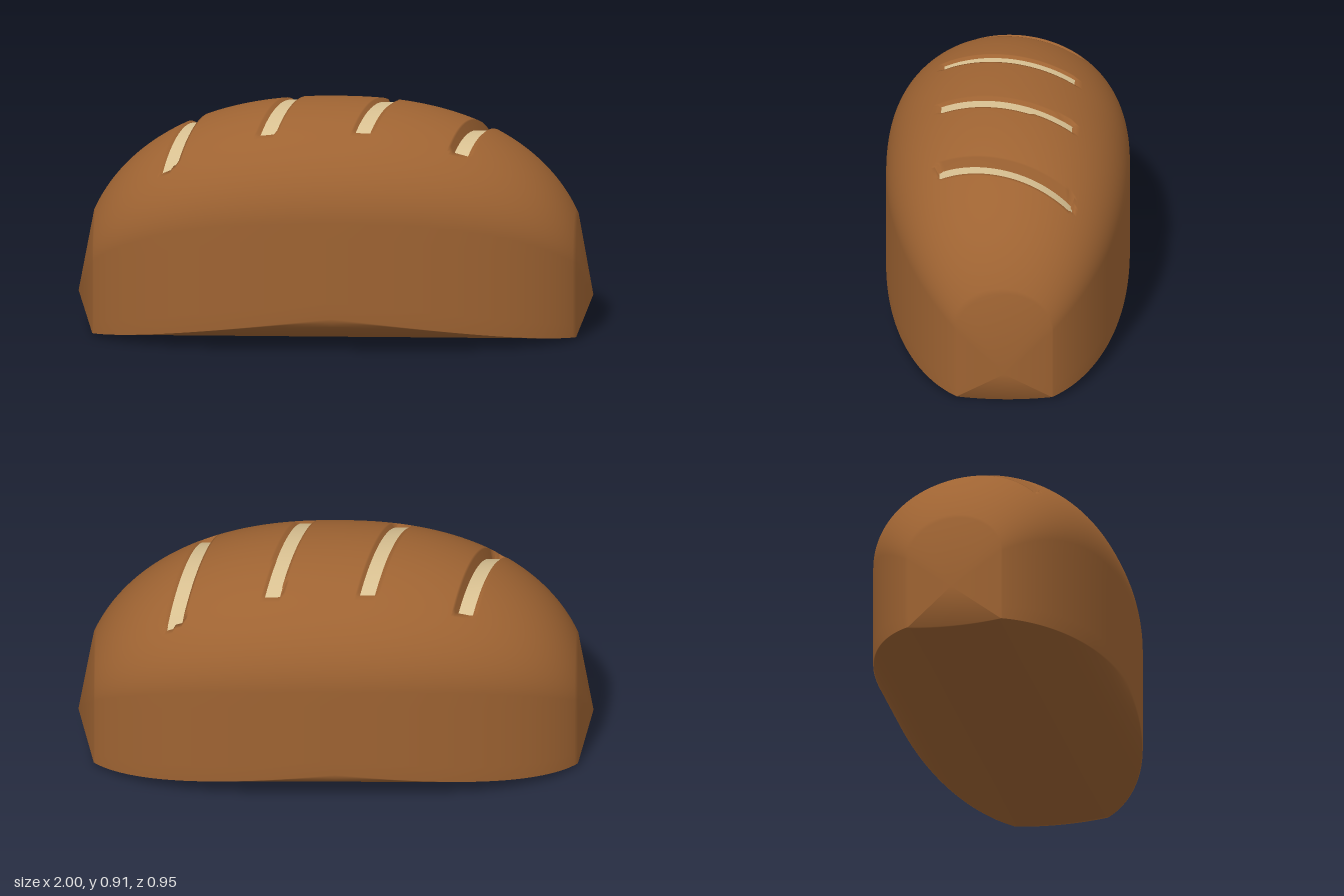
import * as THREE from 'three';

const HALF = 0.473;                 // half depth of the loaf
const END = 0.94;                   // last full cross-section before the tips
const CUTS = [-0.57, -0.19, 0.18, 0.56];
const SLANT = 0.26;                 // x shift of a cut per unit z
const CUT_LEN = 0.262, CUT_HALF = 0.034;

// Outline rules: rounded plan, ridge and shoulder heights along x
const bulge = (x, p) => Math.pow(Math.max(0, 1 - Math.pow(Math.min(1, Math.abs(x)), p)), 1 / p);
const halfWidth = x => HALF * bulge(x, 2.2);
const ridge = x => 0.14 + 0.768 * bulge(x, 2.3);
const shoulder = x => 0.14 + 0.38 * bulge(x, 2.3);
const underside = z => 0.14 * (1 - Math.sqrt(Math.max(0, 1 - (z / HALF) ** 2)));
function crust(x, z) {
  const s = shoulder(x), k = z / halfWidth(x);
  return s + (ridge(x) - s) * Math.sqrt(Math.max(0, 1 - k * k));
}

// Level floor of a scored cut, set just under its lower edge
function cutFloor(c, z) {
  const x = c - SLANT * z;
  return Math.min(crust(x - CUT_HALF, z), crust(x + CUT_HALF, z)) - 0.01;
}

// One ring of [k, zone, t]: underside, front wall, dome, back wall
function ringPlan() {
  const ring = [], under = 24, wall = 6, dome = 72;
  for (let i = 0; i < under; i++) ring.push([-Math.cos(Math.PI * i / under), 'under', 0]);
  for (let i = 0; i < wall; i++) ring.push([1, 'wall', i / wall]);
  for (let i = 0; i <= dome; i++) ring.push([Math.cos(Math.PI * i / dome), 'dome', 0]);
  for (let i = wall - 1; i > 0; i--) ring.push([-1, 'wall', i / wall]);
  return ring;
}

function loafGeometry() {
  const ring = ringPlan(), n = ring.length, cols = 220;
  const pos = [], index = [];
  for (let i = 0; i <= cols; i++) {
    const u = END * (2 * i / cols - 1);
    const fade = 1 - (u / END) ** 4;
    for (const [k, zone, t] of ring) {
      // columns lean with the cuts so their edges stay clean
      const x = u - SLANT * HALF * k * fade;
      const z = k * halfWidth(x);
      let y;
      if (zone === 'under') y = underside(z);
      else if (zone === 'wall') y = THREE.MathUtils.lerp(underside(z), shoulder(x), t);
      else {
        y = crust(x, z);
        for (const c of CUTS) {
          if (Math.abs(z) < CUT_LEN && Math.abs(x - c + SLANT * z) < CUT_HALF) y = cutFloor(c, z) - 0.004;
        }
      }
      pos.push(x, y, z);
    }
  }
  for (let i = 0; i < cols; i++) {
    for (let j = 0; j < n; j++) {
      const a = i * n + j, b = i * n + (j + 1) % n;
      index.push(a, a + n, b + n, a, b + n, b);
    }
  }
  // blunt tips
  const left = pos.length / 3, right = left + 1;
  pos.push(1, 0.14, 0, -1, 0.14, 0);
  for (let j = 0; j < n; j++) {
    const k = (j + 1) % n;
    index.push(cols * n + k, cols * n + j, left);
    index.push(j, k, right);
  }
  const g = new THREE.BufferGeometry();
  g.setAttribute('position', new THREE.Float32BufferAttribute(pos, 3));
  g.setIndex(index);
  g.computeVertexNormals();
  return g;
}

// Pale crumb strip lying on the floor of a cut
function crumbGeometry(c) {
  const g = new THREE.PlaneGeometry(0.058, 0.516, 1, 32);
  g.rotateX(-Math.PI / 2);
  const p = g.attributes.position;
  for (let i = 0; i < p.count; i++) {
    const z = p.getZ(i);
    p.setXYZ(i, c - SLANT * z + p.getX(i), cutFloor(c, z), z);
  }
  g.computeVertexNormals();
  return g;
}

export function createModel() {
  const crustBrown = new THREE.MeshStandardMaterial({ color: 0x9e6332 });
  crustBrown.name = 'crustBrown';
  const crumbCream = new THREE.MeshStandardMaterial({ color: 0xd8c091 });
  crumbCream.name = 'crumbCream';

  const group = new THREE.Group();
  group.name = 'breadLoaf';

  const loaf = new THREE.Mesh(loafGeometry(), crustBrown);
  loaf.name = 'crust';
  group.add(loaf);

  CUTS.forEach((c, i) => {
    const strip = new THREE.Mesh(crumbGeometry(c), crumbCream);
    strip.name = `scoredCut${i + 1}`;
    group.add(strip);
  });
  return group;
}
